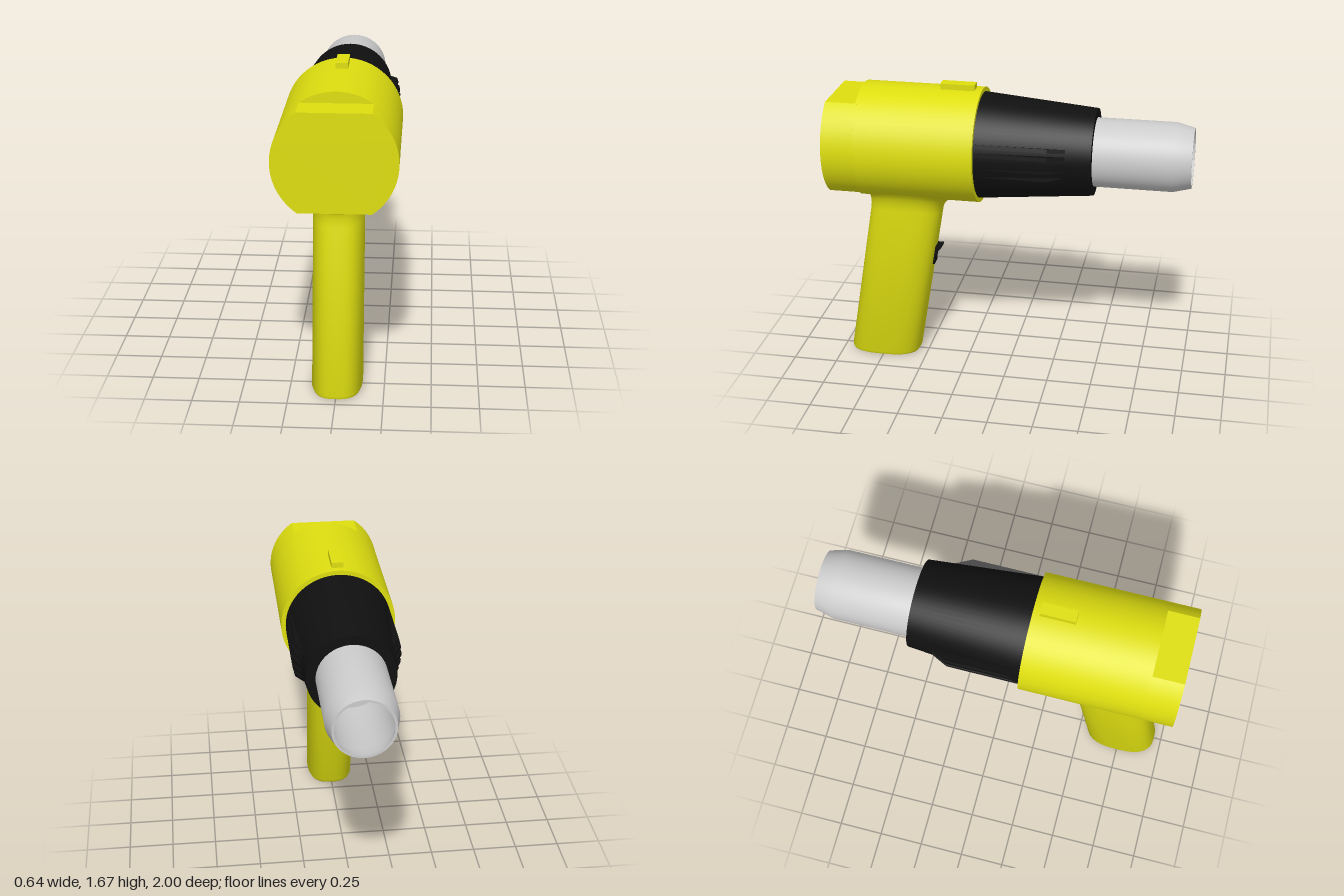
import * as THREE from 'three';
import { toCreasedNormals } from 'three/addons/utils/BufferGeometryUtils.js';

const AXIS_Y = 1.32, BODY_R = 0.32;
const yellow = new THREE.MeshStandardMaterial({ color: 0xdede10 });
const black = new THREE.MeshStandardMaterial({ color: 0x101010 });
const grey = new THREE.MeshStandardMaterial({ color: 0xcccccc, side: THREE.DoubleSide });

function part(name, geometry, material, x = 0, y = 0, z = 0) {
  const mesh = new THREE.Mesh(geometry, material);
  mesh.name = name;
  mesh.position.set(x, y, z);
  return mesh;
}

// Turned part around the barrel axis, from [radius, z] pairs listed front to back
function turned(name, points, material) {
  const profile = points.map(([r, z]) => new THREE.Vector2(r, -z));
  const geo = new THREE.LatheGeometry(profile, 64).rotateX(-Math.PI / 2);
  return part(name, toCreasedNormals(geo, 0.4), material, 0, AXIS_Y, 0);
}

function extruded(points, depth) {
  const shape = new THREE.Shape(points.map(([x, y]) => new THREE.Vector2(x, y)));
  return new THREE.ExtrudeGeometry(shape, { depth, bevelEnabled: false }).translate(0, 0, -depth / 2);
}

// Rear housing: round section with flats on top and bottom
function rearHousing() {
  const flat = Math.asin(0.26 / BODY_R);
  const shape = new THREE.Shape();
  shape.absarc(0, 0, BODY_R, -flat, flat, false);
  shape.absarc(0, 0, BODY_R, Math.PI - flat, Math.PI + flat, false);
  shape.closePath();
  const geo = new THREE.ExtrudeGeometry(shape, { depth: 0.18, bevelEnabled: false, curveSegments: 24 });
  return part('rearHousing', toCreasedNormals(geo, 0.4), yellow, 0, AXIS_Y, 0.82);
}

// Slanted grip lofted from rounded sections, flaring into the round housing
function handle() {
  const N = 64, HALF_X = 0.135, HALF_Z = 0.205, FLARE_H = 0.1;
  const rings = [
    { y: 0, inset: 1 }, { y: 0, inset: 0.022 }, { y: 0.006, inset: 0.007 }, { y: 0.022, inset: 0 },
  ];
  for (let i = 0; i <= 8; i++) rings.push({ flare: i / 8 });
  const rounded = v => Math.sign(v) * Math.abs(v) ** (2 / 2.7);
  const pos = [], index = [];
  rings.forEach(({ y, inset = 0, flare }, j) => {
    for (let i = 0; i < N; i++) {
      const a = (i / N) * Math.PI * 2, c = rounded(Math.cos(a)), s = rounded(Math.sin(a));
      let x = c * Math.max(HALF_X - inset, 0), dz = s * Math.max(HALF_Z - inset, 0), h = y;
      if (flare !== undefined) {
        const grow = 1 - Math.sqrt(1 - flare * flare);
        x += c * 0.05 * grow;
        dz += s * (s < 0 ? 0.075 : 0.03) * grow;
        h = AXIS_Y - Math.sqrt(BODY_R ** 2 - x * x) - FLARE_H * (1 - flare) + 0.004;
      }
      pos.push(x, h, 0.755 - 0.165 * h + dz);
      if (j < rings.length - 1) {
        const p = j * N + i, q = j * N + (i + 1) % N;
        index.push(p, p + N, q, q, p + N, q + N);
      }
    }
  });
  const geo = new THREE.BufferGeometry();
  geo.setAttribute('position', new THREE.Float32BufferAttribute(pos, 3));
  geo.setIndex(index);
  return part('handle', toCreasedNormals(geo, 0.7), yellow);
}

// Grip ribs fanned out on both sides of the heat shroud
function shroudRibs() {
  const group = new THREE.Group();
  group.name = 'shroudRibs';
  group.position.y = AXIS_Y;
  const geo = extruded([[0.22, -0.15], [0.295, -0.15], [0.295, 0.24], [0.25, 0.335], [0.22, 0.335]], 0.022)
    .rotateX(-Math.PI / 2);
  for (const side of [0, Math.PI]) {
    for (let i = -2; i <= 2; i++) {
      const rib = part('rib', geo, black);
      rib.rotation.z = side + i * 0.16;
      group.add(rib);
    }
  }
  return group;
}

// Trigger: hooked profile in the (z, y) plane
function trigger() {
  const geo = extruded([
    [-0.47, 0.575], [-0.446, 0.575], [-0.442, 0.62], [-0.43, 0.655], [-0.405, 0.68],
    [-0.405, 0.69], [-0.47, 0.69],
  ], 0.07).rotateY(Math.PI / 2);
  return part('trigger', geo, black);
}

export function createModel() {
  const model = new THREE.Group();
  model.name = 'heatGun';
  model.add(
    turned('mainHousing', [[0, 0.83], [BODY_R, 0.83], [BODY_R, 0.16], [0, 0.16]], yellow),
    rearHousing(),
    handle(),
    trigger(),
    part('topSwitch', new THREE.BoxGeometry(0.066, 0.06, 0.19), yellow, 0, 1.64, 0.295),
    turned('heatShroud', [[0.295, 0.17], [0.295, 0.16], [0.24, -0.47], [0.17, -0.47]], black),
    shroudRibs(),
    turned('nozzle', [
      [0.19, -0.46], [0.19, -0.9], [0.165, -1], [0.152, -1], [0.176, -0.9], [0.176, -0.48], [0, -0.48],
    ], grey),
  );
  return model;
}
